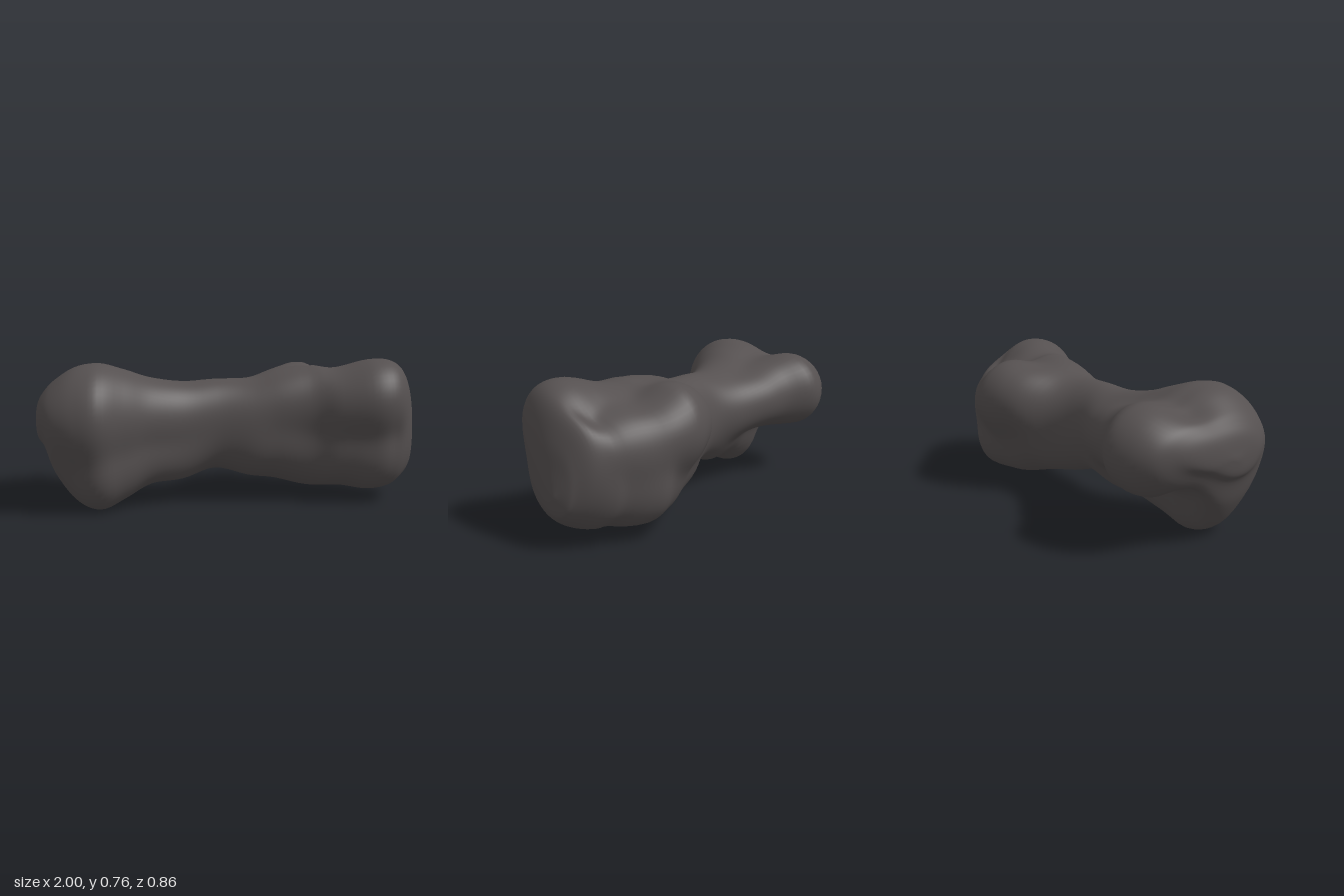
import * as THREE from 'three';
import { mergeVertices } from 'three/addons/utils/BufferGeometryUtils.js';

const { clamp, mapLinear, smoothstep } = THREE.MathUtils;

// Outline along the length: x, top, bottom, front, back
const OUTLINE = [
  [-1, 0.45, 0.45, 0.08, 0.08],
  [-0.985, 0.55, 0.37, 0.22, -0.12],
  [-0.95, 0.61, 0.32, 0.3, -0.25],
  [-0.9, 0.66, 0.19, 0.36, -0.35],
  [-0.8, 0.725, 0.055, 0.41, -0.415],
  [-0.68, 0.745, 0.0, 0.425, -0.43],
  [-0.55, 0.71, 0.05, 0.345, -0.34],
  [-0.42, 0.665, 0.11, 0.265, -0.29],
  [-0.25, 0.64, 0.125, 0.2, -0.21],
  [-0.08, 0.65, 0.175, 0.175, -0.155],
  [0.1, 0.655, 0.13, 0.2, -0.2],
  [0.25, 0.7, 0.105, 0.215, -0.34],
  [0.42, 0.72, 0.06, 0.24, -0.41],
  [0.55, 0.71, 0.055, 0.31, -0.385],
  [0.72, 0.755, 0.055, 0.37, -0.3],
  [0.84, 0.745, 0.07, 0.345, -0.225],
  [0.92, 0.67, 0.115, 0.25, -0.165],
  [0.965, 0.52, 0.155, 0.15, -0.1],
  [0.985, 0.38, 0.19, 0.08, -0.06],
  [1, 0.27, 0.27, 0.01, 0.01],
];

// Each lobe is the thick end of a ridge that tapers to the waist:
// lobe x, y, z, radius, then waist y, z, radius
const LOBES = [
  [-0.72, 0.47, 0.16, 0.265, 0.5, 0.02, 0.15],
  [-0.66, 0.19, 0.17, 0.18, 0.33, 0.0, 0.15],
  [-0.74, 0.485, -0.22, 0.2, 0.42, 0.0, 0.13],
  [0.74, 0.53, 0.15, 0.22, 0.5, 0.02, 0.15],
  [0.76, 0.24, 0.11, 0.19, 0.33, 0.0, 0.15],
  [0.42, 0.51, -0.21, 0.2, 0.46, 0.0, 0.13],
  [0.68, 0.44, -0.13, 0.17, 0.42, 0.0, 0.12],
  [0.6, 0.23, -0.12, 0.18, 0.34, 0.0, 0.13],
  [0.84, 0.25, -0.03, 0.18, 0.33, 0.0, 0.12],
].map(([x, y, z, r, wy, wz, wr]) => ({
  line: new THREE.Line3(new THREE.Vector3(x, y, z), new THREE.Vector3(0, wy, wz)), r, wr,
}));

// Smoothly blended distance to all ridges
const near = new THREE.Vector3();
function distance(p, blend) {
  let sum = 0;
  for (const { line, r, wr } of LOBES) {
    const t = line.closestPointToPointParameter(p, true);
    line.at(t, near);
    sum += Math.exp(-(p.distanceTo(near) - r - (wr - r) * t) / blend);
  }
  return -blend * Math.log(sum);
}

// One cross-section of the blended ridges, sized by the outline; softer towards the tips
function section(x, top, bottom, front, back, sides) {
  const cx = clamp(x, -0.8, 0.82);
  const blend = 0.05 + 0.1 * smoothstep(Math.abs(x), 0.82, 1);
  const p = new THREE.Vector3();
  const ring = [];
  for (let j = 0; j < sides; j++) {
    const a = (j / sides) * Math.PI * 2;
    let t = 1.4;
    for (let k = 0; k < 50; k++) {
      p.set(cx, 0.4 + t * Math.cos(a), t * Math.sin(a));
      t = Math.max(0.02, t - distance(p, blend) * 0.85);
    }
    ring.push([0.4 + t * Math.cos(a), t * Math.sin(a)]);
  }
  const ys = ring.map((q) => q[0]);
  const zs = ring.map((q) => q[1]);
  const y0 = Math.min(...ys), y1 = Math.max(...ys), z0 = Math.min(...zs), z1 = Math.max(...zs);
  return ring.map(([y, z]) => [x, mapLinear(y, y0, y1, bottom, top), mapLinear(z, z0, z1, back, front)]);
}

// Loft of all cross-sections from tip to tip
function buildBody(rings, sides) {
  const curve = (a, b) => new THREE.CatmullRomCurve3(
    OUTLINE.map((o) => new THREE.Vector3(o[0], o[a], o[b])), false, 'catmullrom', 0.5);
  const heights = curve(1, 2), depths = curve(3, 4);
  const positions = [], index = [];
  for (let i = 0; i <= rings; i++) {
    const h = heights.getPoint(i / rings), d = depths.getPoint(i / rings);
    for (const q of section(h.x, h.y, h.z, d.y, d.z, sides)) positions.push(...q);
  }
  for (let i = 0; i < rings; i++) {
    for (let j = 0; j < sides; j++) {
      const a = i * sides + j, b = i * sides + ((j + 1) % sides);
      const c = a + sides, d = b + sides;
      if (i > 0) index.push(a, b, c);
      if (i < rings - 1) index.push(b, d, c);
    }
  }
  const geometry = new THREE.BufferGeometry();
  geometry.setAttribute('position', new THREE.Float32BufferAttribute(positions, 3));
  geometry.setIndex(index);
  const welded = mergeVertices(geometry, 1e-4);
  welded.computeVertexNormals();
  return welded;
}

export function createModel() {
  const group = new THREE.Group();
  group.name = 'lumpyRock';
  const stone = new THREE.MeshStandardMaterial({ color: 0x555050 });
  stone.name = 'darkStone';
  const body = new THREE.Mesh(buildBody(95, 80), stone);
  body.name = 'rockBody';
  group.add(body);
  return group;
}
